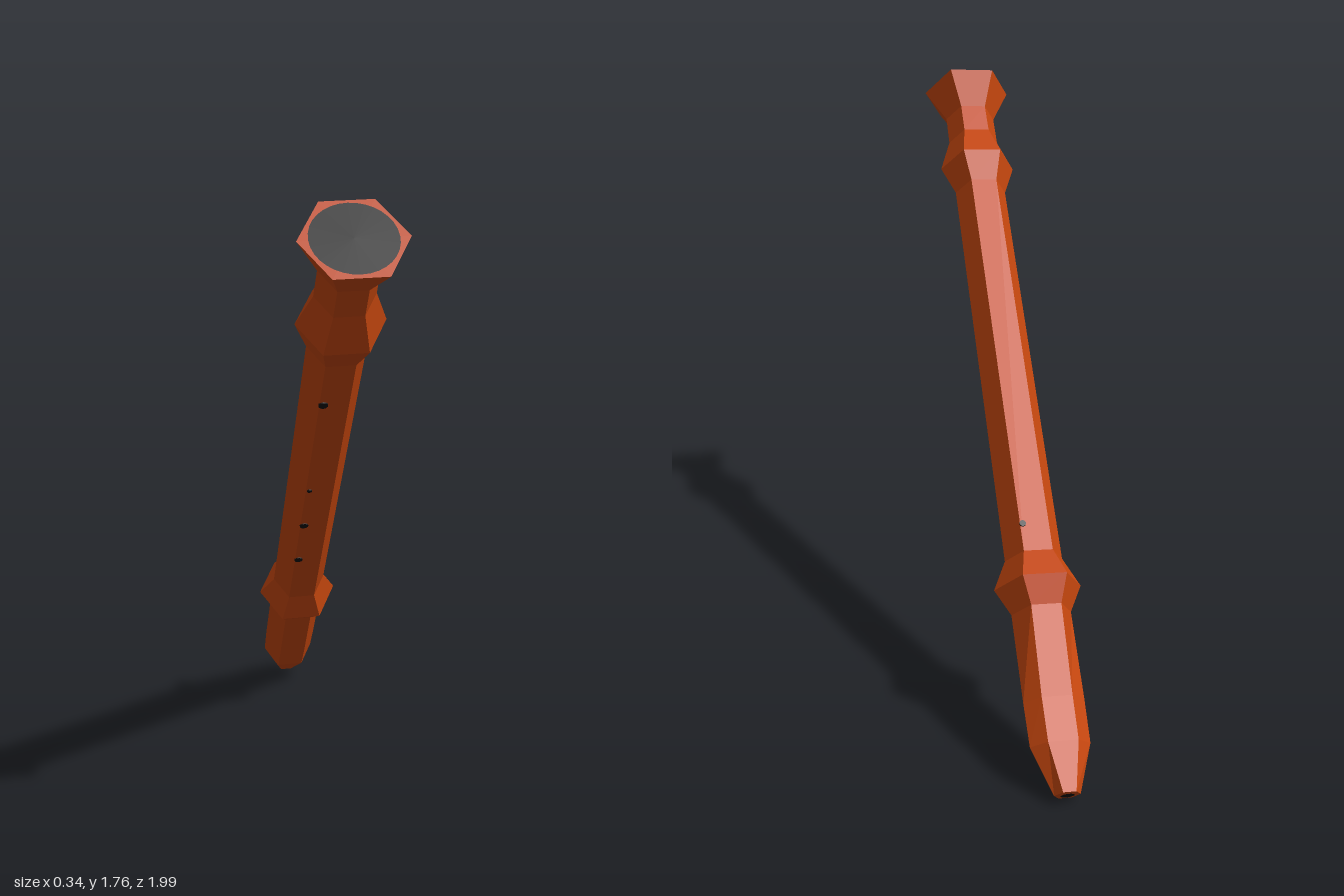
import * as THREE from 'three';

const SIDES = 6;

// Cross-sections: [distance from the flared end, radius, height scale of the upper half]
const RINGS = [
  [0, 0.147, 1], [0.117, 0.084, 1], [0.222, 0.085, 1], [0.337, 0.126, 1], [0.438, 0.086, 1],
  [1.8, 0.088, 1], [1.89, 0.132, 1], [1.97, 0.09, 1], [2.235, 0.09, 0.6], [2.363, 0.088, 0.58], [2.503, 0.038, 1],
];

// Hexagonal body lofted through the rings, with flat ends
function bodyGeometry() {
  const corner = ([t, r, top], k) => {
    const a = (k / SIDES) * Math.PI * 2;
    const y = r * Math.sin(a);
    return [r * Math.cos(a), y > 0 ? y * top : y, -t];
  };
  const p = [];
  for (let j = 0; j < RINGS.length - 1; j++) {
    for (let k = 0; k < SIDES; k++) {
      const a = corner(RINGS[j], k), b = corner(RINGS[j], k + 1);
      const c = corner(RINGS[j + 1], k), d = corner(RINGS[j + 1], k + 1);
      p.push(...a, ...c, ...b, ...b, ...c, ...d);
    }
  }
  const first = RINGS[0], last = RINGS[RINGS.length - 1];
  for (let k = 0; k < SIDES; k++) {
    p.push(0, 0, -first[0], ...corner(first, k), ...corner(first, k + 1));
    p.push(0, 0, -last[0], ...corner(last, k + 1), ...corner(last, k));
  }
  const g = new THREE.BufferGeometry();
  g.setAttribute('position', new THREE.Float32BufferAttribute(p, 3));
  g.computeVertexNormals();
  return g;
}

export function createModel() {
  const wood = new THREE.MeshStandardMaterial({ color: 0xc4460e });
  wood.name = 'orange wood';
  const black = new THREE.MeshStandardMaterial({ color: 0x0d0d0d });
  black.name = 'black bore';

  const flute = new THREE.Group();
  flute.name = 'flute';

  const add = (name, geometry, material) => {
    const mesh = new THREE.Mesh(geometry, material);
    mesh.name = name;
    flute.add(mesh);
    return mesh;
  };
  add('body', bodyGeometry(), wood);

  // Bore openings at both ends
  add('bellOpening', new THREE.CircleGeometry(0.117, 32), black).position.z = 0.002;
  const mouth = add('mouthOpening', new THREE.CircleGeometry(0.02, 16), black);
  mouth.position.z = -2.505;
  mouth.rotation.y = Math.PI;

  // Small finger holes along the underside, and one thumb hole on top
  const hole = (name, x, y, t, r) =>
    add(name, new THREE.CylinderGeometry(r, r, 0.006, 10), black).position.set(x, y, -t);
  [[0.62, 0.014], [1.085, 0.008], [1.3, 0.014], [1.527, 0.014]].forEach(([t, r], i) =>
    hole('fingerHole' + (i + 1), -0.032, -0.0755, t, r));
  hole('thumbHole', 0.036, 0.077, 1.713, 0.01);

  // Lean the flute from its high front end down to the ground at the back
  const back = new THREE.Vector3(-0.032, 0.655, 0.755).normalize();
  const up = new THREE.Vector3().crossVectors(back, new THREE.Vector3(1, 0.05, 0)).normalize();
  const side = new THREE.Vector3().crossVectors(up, back);
  flute.quaternion.setFromRotationMatrix(new THREE.Matrix4().makeBasis(side, up, back));
  flute.position.set(-0.02, 1.668, 0.917);

  const model = new THREE.Group();
  model.name = 'model';
  model.add(flute);
  return model;
}
